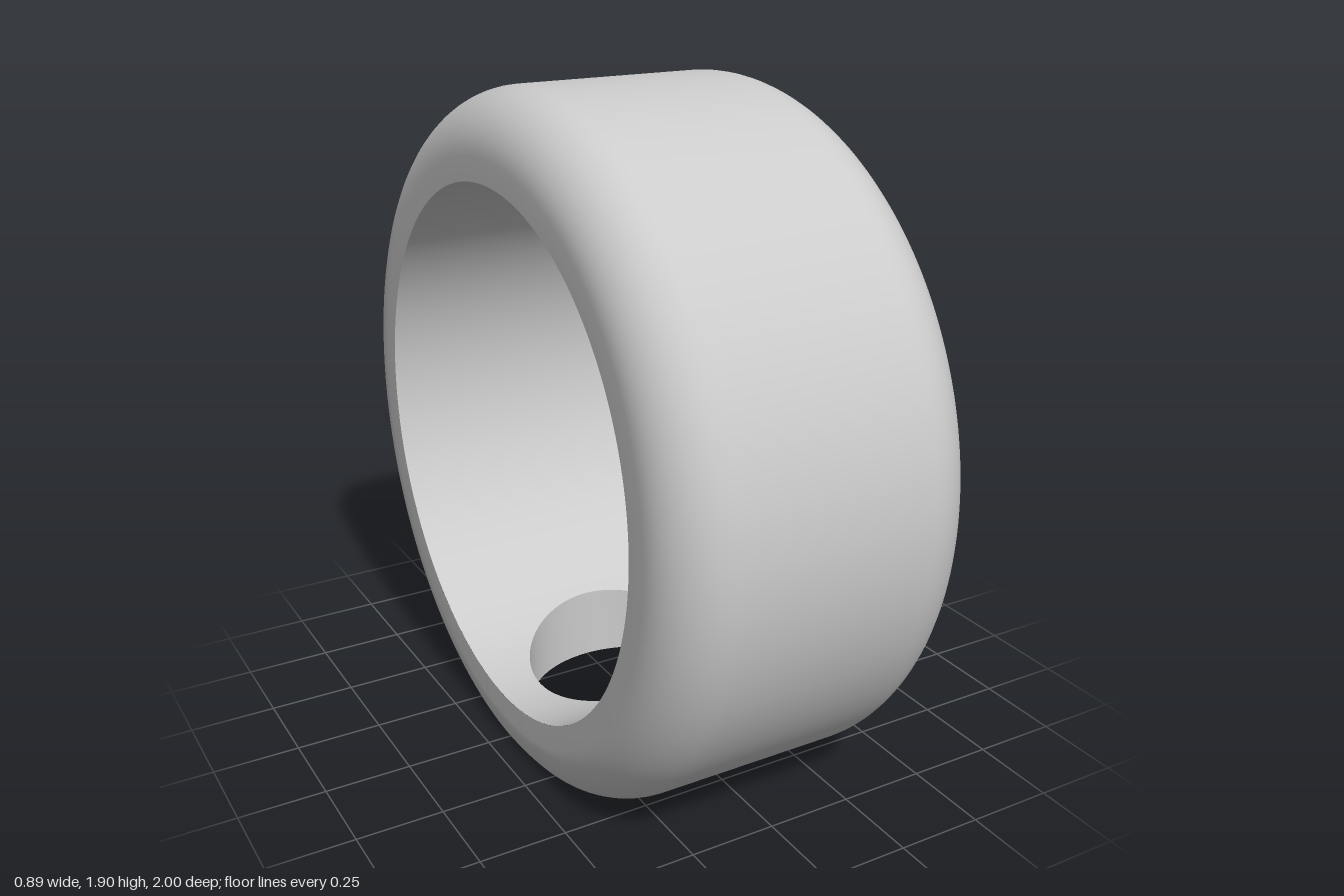
import * as THREE from 'three';
import { mergeGeometries, toCreasedNormals } from 'three/addons/utils/BufferGeometryUtils.js';

const CY = 0.905;            // height of the ring axis; the flat is at y = 0
const R = 1, RI = 0.757;     // outer and inner radius
const W = 0.447, F = 0.175;  // half width and edge fillet radius
const HOLE = 0.325;          // radius of the hole through the flat
const TC = Math.acos(CY / R);  // angle at which the flat meets the rim
const T0 = 0.6;              // half angle of the inner patch around the hole

// Point on the ring: angle t is measured from straight down
const polar = (x, r, t) => [x, CY - r * Math.cos(t), r * Math.sin(t)];

// Grid surface whose front faces along du x dv
function grid(nu, nv, f) {
  const pos = [], index = [];
  for (let i = 0; i <= nu; i++) for (let j = 0; j <= nv; j++) pos.push(...f(i / nu, j / nv));
  for (let i = 0; i < nu; i++) for (let j = 0; j < nv; j++) {
    const a = i * (nv + 1) + j, b = a + nv + 1;
    index.push(a, b, a + 1, b, b + 1, a + 1);
  }
  const g = new THREE.BufferGeometry();
  g.setAttribute('position', new THREE.Float32BufferAttribute(pos, 3));
  g.setIndex(index);
  return g;
}

// Angle swept by the fillet before it ends at the rim or is cut by the flat
function filletSweep(t) {
  const c = Math.cos(t);
  const rMax = c > 0 ? Math.min(R, CY / c) : R;
  return Math.asin(Math.min(1, (rMax - (R - F)) / F));
}
const filletEnd = (t) => W - F + F * Math.cos(filletSweep(t));

// Rounded edge and side face over a range of angles
function edge(side, from, to, steps) {
  const n = 14;
  return grid(steps, n, (u, v) => {
    const t = from + (to - from) * u;
    const k = Math.round((side > 0 ? v : 1 - v) * n);
    if (k === 0) return polar(side * W, RI, t);
    const a = filletSweep(t) * (k - 1) / (n - 1);
    return polar(side * (W - F + F * Math.cos(a)), R - F + F * Math.sin(a), t);
  });
}

// Flat foot with its round hole
function foot() {
  const n = 64, pts = [];
  for (const s of [1, -1]) for (let i = 0; i <= n; i++) {
    const t = s * TC * (2 * i / n - 1);
    pts.push(new THREE.Vector2(s * filletEnd(t), CY * Math.tan(t)));
  }
  const shape = new THREE.Shape(pts);
  shape.holes.push(new THREE.Path().absarc(0, 0, HOLE, 0, Math.PI * 2, true));
  const g = new THREE.ShapeGeometry(shape, 48);
  g.rotateX(Math.PI / 2);
  g.deleteAttribute('uv');
  g.deleteAttribute('normal');
  return g;
}

// Inner bore around the hole, blending from a rectangle to the hole's edge
function borePatch() {
  return grid(96, 8, (u, v) => {
    const a = u * Math.PI * 2, s = Math.sin(a), c = Math.cos(a);
    const m = Math.max(Math.abs(s), Math.abs(c));
    const t = THREE.MathUtils.lerp(T0 * c / m, Math.asin(HOLE * c / RI), v);
    return polar(THREE.MathUtils.lerp(W * s / m, HOLE * s, v), RI, t);
  });
}

// Wall of the hole, from the bore down to the flat
function holeWall() {
  return grid(96, 1, (u, v) => {
    const a = u * Math.PI * 2, z = HOLE * Math.cos(a);
    return [HOLE * Math.sin(a), (1 - v) * (CY - Math.sqrt(RI * RI - z * z)), z];
  });
}

export function createModel() {
  const full = Math.PI * 2;
  const parts = [
    // outer rim
    grid(180, 1, (u, v) => polar((W - F) * (1 - 2 * v), R, TC + (full - 2 * TC) * u)),
    // inner bore away from the hole
    grid(160, 1, (u, v) => polar(W * (2 * v - 1), RI, T0 + (full - 2 * T0) * u)),
    borePatch(), holeWall(), foot(),
  ];
  for (const side of [1, -1]) {
    parts.push(edge(side, -TC, TC, 64), edge(side, TC, full - TC, 180));
  }

  const geometry = toCreasedNormals(mergeGeometries(parts), 0.3);
  const ring = new THREE.Mesh(geometry, new THREE.MeshStandardMaterial({ color: 0xcccccc }));
  ring.name = 'ringBand';
  const group = new THREE.Group();
  group.name = 'ring';
  group.add(ring);
  return group;
}
